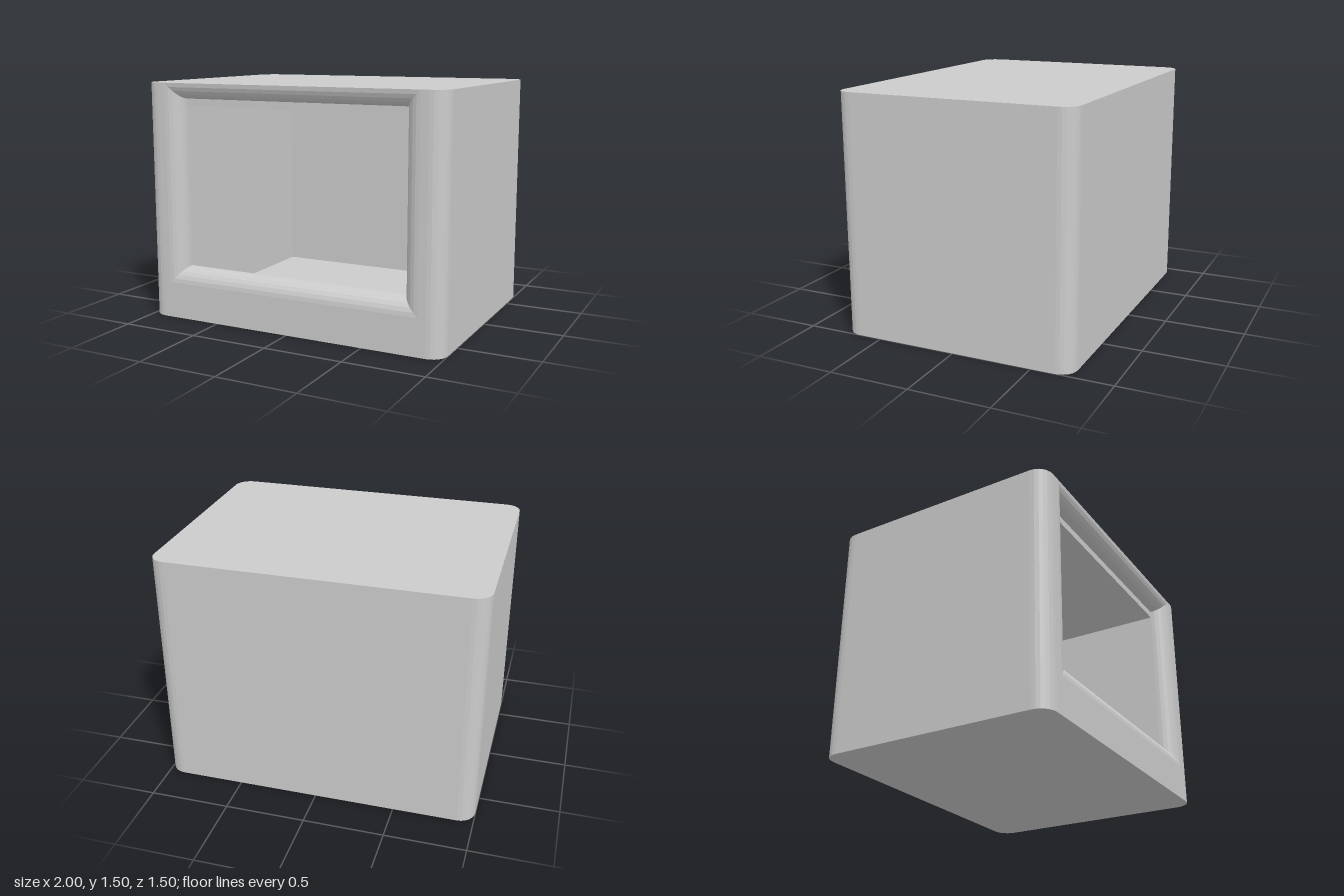
import * as THREE from 'three';

const W = 1, H = 1.5, D = 0.75, R = 0.1;            // half width, height, half depth, corner radius
const OPEN = { x: 0.75, y0: 0.33, y1: 1.4 };        // clear front opening
const FLOOR = 0.1, CEILING = 1.355, INNER = D - R;  // cavity limits
const STEPS = 6;

// Quads between successive rings of points, each facet flat
function strip(rings) {
  const pos = [];
  for (let i = 0; i < rings.length - 1; i++) {
    const p = rings[i], q = rings[i + 1];
    for (let j = 0; j < p.length - 1; j++) {
      for (const v of [p[j], p[j + 1], q[j + 1], p[j], q[j + 1], q[j]]) pos.push(...v);
    }
  }
  const g = new THREE.BufferGeometry();
  g.setAttribute('position', new THREE.Float32BufferAttribute(pos, 3));
  g.computeVertexNormals();
  return g;
}

// Closed upright rectangle, anticlockwise seen from the front
const rect = (x, y0, y1, z) => [[-x, y0, z], [x, y0, z], [x, y1, z], [-x, y1, z], [-x, y0, z]];

// Rounded outline in plan: front right, back right, back left, front left
function footprint() {
  const pts = [];
  const corners = [[1, 1, 90], [1, -1, 0], [-1, -1, -90], [-1, 1, -180]];
  for (const [sx, sz, start] of corners) {
    for (let i = 0; i <= STEPS; i++) {
      const a = THREE.MathUtils.degToRad(start - 90 * i / STEPS);
      pts.push([sx * (W - R) + R * Math.cos(a), sz * (D - R) + R * Math.sin(a)]);
    }
  }
  return pts;
}

export function createModel() {
  const group = new THREE.Group();
  const material = new THREE.MeshStandardMaterial({ color: 0xcccccc, flatShading: true });
  const add = (name, geometry, x = 0, y = 0, z = 0) => {
    const mesh = new THREE.Mesh(geometry, material);
    mesh.name = name;
    mesh.position.set(x, y, z);
    group.add(mesh);
  };

  // Outer casing with rounded upright corners
  const plan = footprint();
  add('outerWalls', strip([0, H].map(y => plan.map(([x, z]) => [x, y, z]))));
  const planShape = new THREE.Shape(plan.map(([x, z]) => new THREE.Vector2(x, -z)));
  add('topPanel', new THREE.ShapeGeometry(planShape).rotateX(-Math.PI / 2), 0, H, 0);
  add('basePanel', new THREE.ShapeGeometry(planShape).rotateX(Math.PI / 2));

  // Flat front around the opening, whose rounded edge reaches the top
  const fx = W - R, ox = OPEN.x + R, oy = OPEN.y0 - R;
  const front = new THREE.Shape([
    [-fx, 0], [fx, 0], [fx, H], [ox, H], [ox, oy], [-ox, oy], [-ox, H], [-fx, H],
  ].map(p => new THREE.Vector2(...p)));
  add('frontFrame', new THREE.ShapeGeometry(front), 0, 0, D);

  // Rounded, mitred edge of the opening
  const rings = [];
  for (let i = STEPS; i >= 0; i--) {
    const a = (i / STEPS) * Math.PI / 2;
    const o = R * (1 - Math.cos(a));
    rings.push(rect(OPEN.x + o, OPEN.y0 - o, OPEN.y1 + o, INNER + R * Math.sin(a)));
  }
  add('openingEdge', strip(rings));

  // Cavity: floor, sides and ceiling, then the back
  add('cavityWalls', strip([INNER, -INNER].map(z => rect(OPEN.x, FLOOR, CEILING, z))));
  add('cavityBack', new THREE.PlaneGeometry(2 * OPEN.x, CEILING - FLOOR), 0, (CEILING + FLOOR) / 2, -INNER);

  // Inside of the sill and the step up from ceiling to opening
  add('sillBack', new THREE.PlaneGeometry(2 * OPEN.x, OPEN.y0 - FLOOR).rotateY(Math.PI), 0, (OPEN.y0 + FLOOR) / 2, INNER);
  add('ceilingStep', new THREE.PlaneGeometry(2 * OPEN.x, OPEN.y1 - CEILING), 0, (OPEN.y1 + CEILING) / 2, INNER);

  return group;
}
